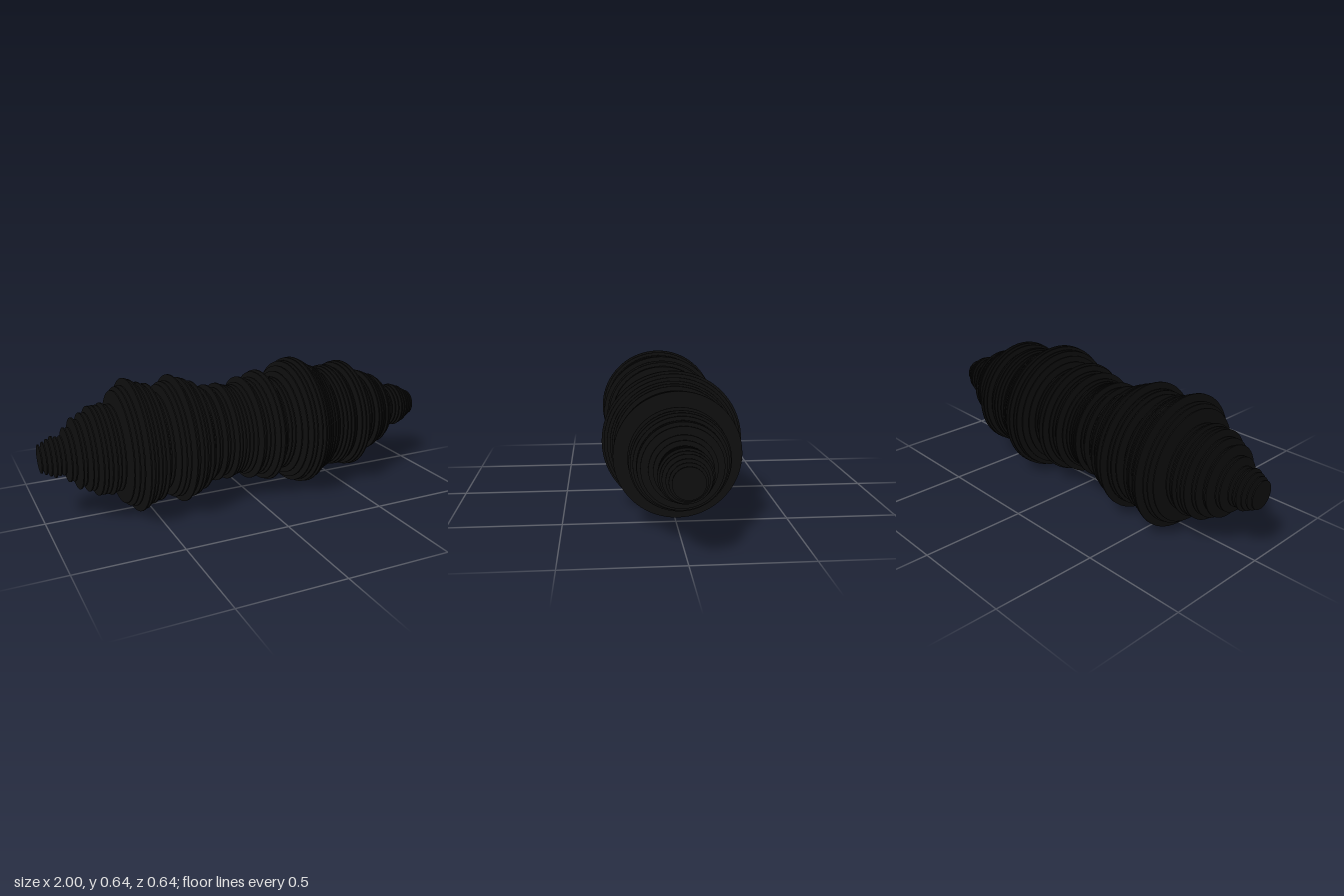
import * as THREE from 'three';

// Disc radii in thousandths, from -x to +x
const RADII = [
  65, 75, 85, 95, 90, 92, 125, 125, 165, 155,
  182, 182, 208, 208, 208, 215, 205, 205, 265, 280,
  285, 315, 307, 293, 290, 280, 280, 240, 235, 266,
  278, 280, 307, 285, 290, 283, 266, 266, 235, 235,
  220, 237, 220, 220, 238, 230, 224, 220, 222, 230,
  255, 240, 240, 247, 271, 278, 257, 230, 235, 235,
  260, 285, 306, 308, 320, 322, 312, 298, 285, 276,
  268, 250, 252, 258, 262, 262, 250, 268, 274, 276,
  205, 216, 206, 200, 214, 208, 198, 185, 184, 170,
  140, 122, 105, 108, 110, 112, 105, 98, 85, 75, 65,
];
const THICKNESS = 0.006;

export function createModel() {
  const group = new THREE.Group();
  group.name = 'discRow';

  const black = new THREE.MeshStandardMaterial({ color: 0x0f0f0f });
  black.name = 'matte black';

  // One unit disc lying across the x axis, scaled for each position
  const disc = new THREE.CylinderGeometry(1, 1, THICKNESS, 72);
  disc.rotateZ(-Math.PI / 2);

  const centreY = Math.max(...RADII) / 1000;
  const last = RADII.length - 1;
  RADII.forEach((thousandths, i) => {
    const r = thousandths / 1000;
    const mesh = new THREE.Mesh(disc, black);
    mesh.name = `disc${i + 1}`;
    mesh.scale.set(1, r, r);
    mesh.position.set((i / last - 0.5) * (2 - THICKNESS), centreY, 0);
    group.add(mesh);
  });

  return group;
}
